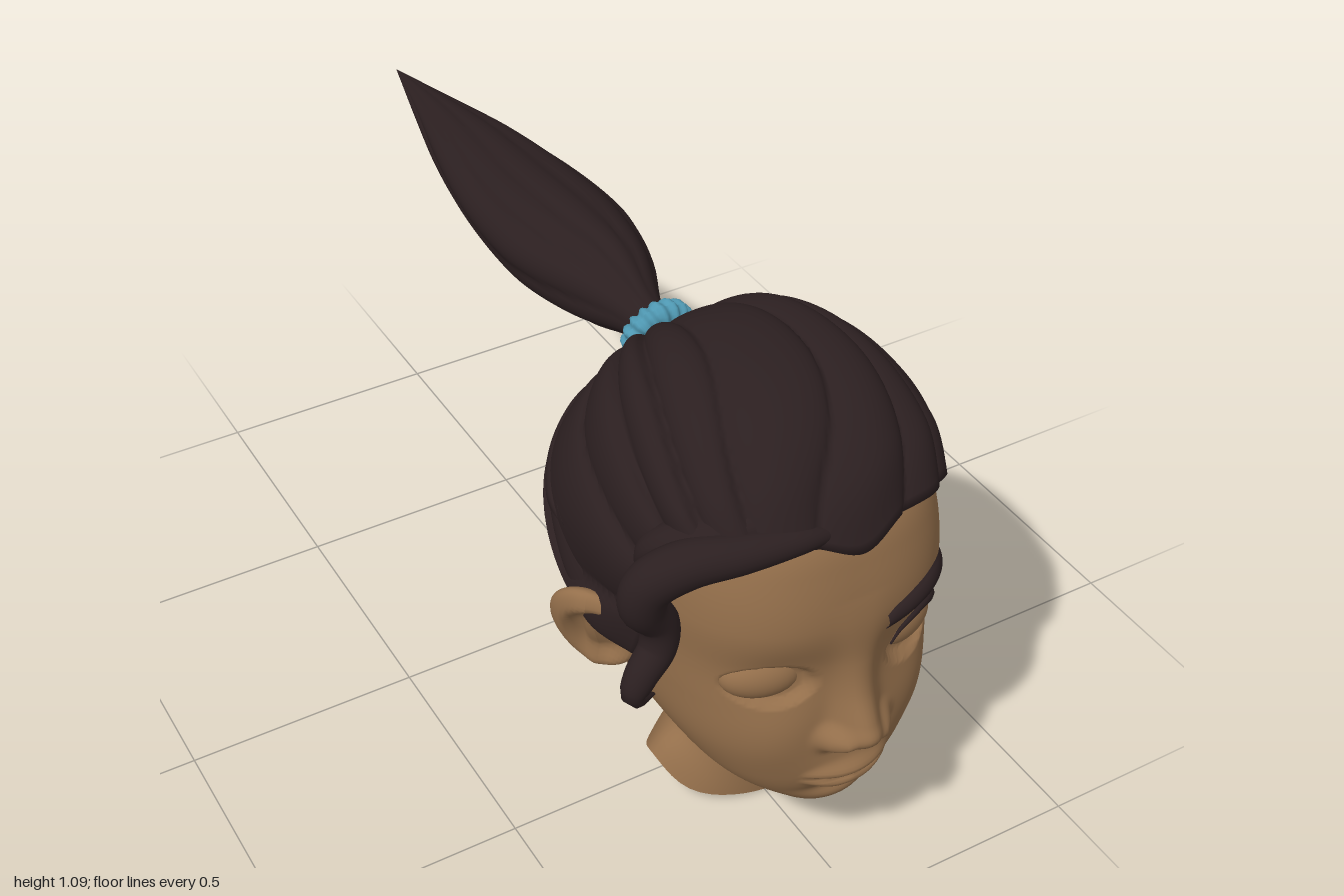
import * as THREE from 'three';

const mat = (name, color, side = THREE.DoubleSide) => {
  const m = new THREE.MeshStandardMaterial({ color, side });
  m.name = name;
  return m;
};
const { PI, sin, cos, abs, pow, exp, hypot, max, min } = Math;
const V = (x, y, z) => new THREE.Vector3(x, y, z);
const smooth = (a, b, x) => THREE.MathUtils.smoothstep(x, a, b);
const gauss = (x, y, sx, sy) => exp(-((x / sx) ** 2 + (y / sy) ** 2) / 2);

// Smooth surface from fn(u, v) -> Vector3; u optionally wraps round
function grid(fn, nu, nv, wrap = true) {
  const pos = [], idx = [], cols = wrap ? nu : nu + 1;
  for (let j = 0; j <= nv; j++)
    for (let i = 0; i < cols; i++) pos.push(...fn(i / nu, j / nv).toArray());
  for (let j = 0; j < nv; j++)
    for (let i = 0; i < nu; i++) {
      const a = j * cols + i, b = j * cols + ((i + 1) % cols), c = a + cols, d = b + cols;
      idx.push(a, b, d, a, d, c);
    }
  const g = new THREE.BufferGeometry();
  g.setAttribute('position', new THREE.Float32BufferAttribute(pos, 3));
  g.setIndex(idx);
  g.computeVertexNormals();
  return g;
}

// Smooth interpolation through rows [key, a, b, ...]
function rowsAt(rows, k) {
  let i = 0;
  while (i < rows.length - 2 && k > rows[i + 1][0]) i++;
  const at = (n) => rows[max(0, min(rows.length - 1, n))];
  const p0 = at(i - 1), p1 = at(i), p2 = at(i + 1), p3 = at(i + 2);
  const h = p2[0] - p1[0], t = max(0, min(1, (k - p1[0]) / h));
  return p1.slice(1).map((v, n) => {
    const c = n + 1;
    const m1 = (p2[c] - p0[c]) / (p2[0] - p0[0]) * h, m2 = (p3[c] - p1[c]) / (p3[0] - p1[0]) * h;
    return (2 * t ** 3 - 3 * t * t + 1) * p1[c] + (t ** 3 - 2 * t * t + t) * m1
      + (3 * t * t - 2 * t ** 3) * p2[c] + (t ** 3 - t * t) * m2;
  });
}

// Tapered tube through points, with radius rows [t, width, depth]
function lock(points, radii, nu = 16, nv = 48) {
  const curve = new THREE.CatmullRomCurve3(points.map((p) => V(...p)));
  const f = curve.computeFrenetFrames(nv);
  return grid((u, v) => {
    const j = Math.round(v * nv), [a, b] = rowsAt(radii, v);
    return curve.getPointAt(v)
      .addScaledVector(f.normals[j], a * cos(u * 2 * PI))
      .addScaledVector(f.binormals[j], b * sin(u * 2 * PI));
  }, nu, nv);
}

// Head slices: y, half width, front z, widest z, back z
const HEAD = [
  [0.188, 0.004, 0.82, 0.80, 0.78], [0.2, 0.07, 0.872, 0.79, 0.7], [0.23, 0.13, 0.895, 0.74, 0.62],
  [0.27, 0.187, 0.905, 0.7, 0.56], [0.32, 0.229, 0.915, 0.66, 0.49], [0.4, 0.271, 0.925, 0.6, 0.4],
  [0.5, 0.291, 0.925, 0.56, 0.31], [0.6, 0.298, 0.925, 0.55, 0.26], [0.7, 0.304, 0.93, 0.55, 0.24],
  [0.8, 0.296, 0.91, 0.55, 0.24], [0.87, 0.27, 0.88, 0.55, 0.27], [0.95, 0.21, 0.8, 0.55, 0.33],
  [1.02, 0.11, 0.67, 0.55, 0.44], [1.04, 0.01, 0.56, 0.55, 0.54]];
// Nose ridge: y, height, width
const NOSE = [[0.385, 0, 0.036], [0.402, 0.02, 0.036], [0.42, 0.056, 0.037], [0.445, 0.073, 0.036], [0.472, 0.061, 0.033],
  [0.53, 0.034, 0.031], [0.6, 0.018, 0.034], [0.68, 0.006, 0.042], [0.75, 0, 0.045]];
const EYE = { x: 0.155, y: 0.563, rx: 0.078, ry: 0.05 };

// Relief of nose, mouth, chin, cheeks and eye sockets
function relief(x, y) {
  const ax = abs(x), [nh, nw] = rowsAt(NOSE, y);
  let d = nh * exp(-pow(ax / (nw * 1.25), 2.6));
  d += 0.03 * exp(-pow(hypot((ax - 0.056) / 0.024, (y - 0.427) / 0.028), 3));
  d += 0.02 * gauss(x, y - 0.325, 0.07, 0.045);
  // Lips: both thin out and meet the mouth line at the corners
  const lip = max(0, 1 - (x / 0.1) ** 2), line = 0.318 - 0.004 * gauss(ax - 0.03, 0, 0.02, 1);
  const bow = 0.003 * gauss(x, 0, 0.012, 1);
  d += pow(lip, 0.8) * 0.02 * gauss(0, y - line - 0.006 - 0.013 * lip + bow, 1, 0.006 + 0.006 * lip);
  d += pow(lip, 0.8) * 0.02 * gauss(0, y - line + 0.006 + 0.015 * lip, 1, 0.005 + 0.009 * lip);
  d -= 0.01 * pow(lip, 0.5) * gauss(0, y - line, 1, 0.004);
  d -= 0.011 * gauss(x, y - 0.263, 0.05, 0.012);
  d += 0.012 * gauss(x, y - 0.228, 0.05, 0.018);
  d += 0.008 * gauss(ax - 0.16, y - 0.43, 0.06, 0.06);
  d -= 0.02 * gauss(ax - 0.15, y - 0.57, 0.065, 0.05);
  const e = hypot((ax - EYE.x) / EYE.rx, (y - EYE.y) / EYE.ry);
  return d - 0.02 * (1 - smooth(0.85, 1.02, e));
}
function faceZ(x, y) {
  const [hw, zf, zc] = rowsAt(HEAD, y);
  return zc + (zf - zc) * pow(max(0, 1 - pow(abs(x) / hw, 2.6)), 1 / 2.6) + relief(x, y);
}
function headPoint(u, v) {
  const y = v < 0.06 ? 0.188 + 0.032 * (v / 0.06) ** 2 : 0.22 + 0.82 * (v - 0.06) / 0.94;
  const [hw, zf, zc, zb] = rowsAt(HEAD, y);
  const a = (u - 0.5) * 2 * PI, s = sin(a), c = cos(a);
  const depth = pow(max(0, 1 - pow(abs(s), 2.6)), 1 / 2.6);
  const z = zc + (c > 0 ? zf - zc : zb - zc) * depth;
  return V(hw * s, y, z + (c > 0 ? relief(hw * s, y) * smooth(0, 0.3, c) : 0));
}

// Neck slices: y, half width, front z, back z
const NECK = [[0, 0.19, 0.66, 0.39], [0.09, 0.144, 0.655, 0.405], [0.15, 0.125, 0.655, 0.42],
  [0.21, 0.119, 0.675, 0.435], [0.45, 0.13, 0.69, 0.4]];
function neckPoint(u, v) {
  const y = v * 0.45, [hw, zf, zb] = rowsAt(NECK, y), a = u * 2 * PI, s = sin(a), c = cos(a);
  const rim = 0.03 * abs(s) + 0.05 * s ** 8 + (c < 0 ? 0.055 * c ** 4 : 0);
  return V(hw * s, y + rim * (1 - smooth(0, 0.18, y)), (zf + zb) / 2 + (zf - zb) / 2 * c);
}

// Ear: flattened ball with a hollow outer face and narrower lobe
function earGeometry(s) {
  const g = new THREE.SphereGeometry(1, 40, 32), p = g.attributes.position;
  for (let i = 0; i < p.count; i++) {
    const y = p.getY(i), z = p.getZ(i), out = p.getX(i) * s;
    let x = out * 0.038;
    if (out > 0) x -= 0.036 * (1 - smooth(0.45, 0.82, hypot(y, z - 0.15))) - 0.012 * gauss(y + 0.05, z + 0.1, 0.5, 0.12);
    p.setXYZ(i, x * s, y * 0.122, z * 0.104 * (0.88 + 0.14 * y));
  }
  g.computeVertexNormals();
  return g;
}

// Hairline on the left, nape to forehead; mirrored for the right
const C = V(0, 0.68, 0.55);
const SIDE = [[0.1, 0.32, 0.425], [0.19, 0.335, 0.455], [0.27, 0.46, 0.46], [0.31, 0.58, 0.47], [0.32, 0.665, 0.53],
  [0.318, 0.65, 0.6], [0.308, 0.54, 0.625], [0.306, 0.53, 0.65], [0.304, 0.62, 0.685], [0.3, 0.7, 0.717],
  [0.282, 0.785, 0.75], [0.25, 0.848, 0.81], [0.18, 0.868, 0.86], [0.09, 0.87, 0.885]];
const mirror = ([x, y, z]) => [-x, y, z];
const hairline = new THREE.CatmullRomCurve3(
  [[0, 0.32, 0.41], ...SIDE, [0, 0.84, 0.905], ...SIDE.map(mirror).reverse()].map((p) => V(...p)), true);
function hull(d) {
  const n = 2.5 - 0.3 * smooth(0, 0.5, d.y);
  return pow(pow(abs(d.x) / 0.347, n) + pow(abs(d.y) / (d.y > 0 ? 0.39 : 0.375), n)
    + pow(abs(d.z) / (d.z > 0 ? 0.38 : 0.355), n), -1 / n);
}
const TIE = V(0, 0.2, -0.35).normalize();

// Combed hair: scalloped locks running from the tie to the hairline
function hairPoint(u, v) {
  const t = min(1, v / 0.96), tuck = max(0, v - 0.96) / 0.04;
  const edge = hairline.getPoint(u).sub(C), len = edge.length(), dir = edge.normalize();
  const ang = TIE.angleTo(dir), d = TIE.clone().multiplyScalar(sin((1 - t) * ang))
    .addScaledVector(dir, sin(t * ang)).divideScalar(sin(ang)).normalize();
  const q = u * 24 + 0.35 * sin(u * 10 * PI) + 0.55 * sin(t * PI * 1.3) * cos(u * 4 * PI) + 48;
  const s = q % 1, id = Math.floor(q) % 24;
  const bulge = pow(sin(PI * pow(s, 0.75)), 0.6) * (0.018 + 0.012 * abs(sin(id * 7.3)));
  let r = THREE.MathUtils.lerp(hull(d), len, smooth(0.72, 1, t)) - 0.004;
  r += bulge * smooth(0, 0.4, t) * (1 - 0.5 * smooth(0.85, 1, t));
  return d.multiplyScalar(r * (1 - 0.14 * tuck)).add(C);
}

// Ponytail slices: distance from tie, half width, top y, bottom y
const TAIL = [[0, 0.04, 0.92, 0.84], [0.08, 0.05, 0.935, 0.83], [0.2, 0.098, 0.98, 0.797], [0.32, 0.13, 0.988, 0.784],
  [0.42, 0.142, 0.986, 0.782], [0.6, 0.134, 0.97, 0.795], [0.8, 0.103, 0.948, 0.823], [1, 0.056, 0.92, 0.856],
  [1.22, 0.001, 0.892, 0.89]];
function tailPoint(u, v) {
  const k = v * 1.22, [hw, top, bot] = rowsAt(TAIL, k), a = u * 2 * PI;
  const q = u * 9 + 0.5 * sin(v * 4) + 0.2 * sin(a * 2) + 9;
  const f = 0.93 + 0.09 * pow(sin(PI * (q % 1)), 0.6) * smooth(0, 0.15, v);
  return V(hw * f * sin(a), (top + bot) / 2 + (top - bot) / 2 * f * cos(a), 0.22 - k);
}

export function createModel() {
  const skin = mat('skin', 0x946f4b), hair = mat('hair', 0x2b1f20), band = mat('hair tie', 0x4f98b2);
  const model = new THREE.Group();
  model.name = 'head';
  const add = (name, geometry, material) => {
    const m = new THREE.Mesh(geometry, material);
    m.name = name;
    model.add(m);
    return m;
  };

  add('face', grid(headPoint, 200, 150), skin);
  add('neck', grid(neckPoint, 48, 20), skin);

  for (const s of [1, -1]) {
    const side = s > 0 ? 'left' : 'right';
    const ear = add(side + 'Ear', earGeometry(s), skin);
    ear.position.set(0.337 * s, 0.528, 0.552);
    ear.rotation.set(0, -0.62 * s, -0.3 * s);

    // Eyeball sitting in its socket
    const eye = add(side + 'Eye', new THREE.SphereGeometry(1, 32, 24), skin);
    eye.scale.set(0.08, 0.05, 0.045);
    eye.position.set(EYE.x * s, EYE.y, faceZ(EYE.x, EYE.y) - 0.022);
    eye.rotation.y = 0.33 * s;
  }

  // Left eyebrow: domed strip laid on the forehead; rows are x, bottom y, top y
  const BROW = [[0.055, 0.648, 0.685], [0.075, 0.65, 0.697], [0.14, 0.662, 0.713], [0.2, 0.664, 0.714],
    [0.24, 0.652, 0.695], [0.267, 0.628, 0.662]];
  add('leftEyebrow', grid((u, v) => {
    const x = 0.055 + 0.212 * u, [lo, hi] = rowsAt(BROW, x), y = lo + (hi - lo) * v;
    return V(x, y, faceZ(x, y) - 0.004 + 0.022 * pow(sin(PI * v), 0.5) * pow(sin(PI * (0.04 + 0.92 * u)), 0.3));
  }, 32, 12, false), hair);

  // Left upper lashes
  const lash = [[0.082, 0.585], [0.105, 0.606], [0.15, 0.616], [0.195, 0.606], [0.228, 0.585], [0.262, 0.567]]
    .map(([x, y], i) => [x, y, faceZ(x, y) + (i === 5 ? 0.02 : 0.004)]);
  add('leftEyelashes', lock(lash, [[0, 0.002, 0.002], [0.4, 0.007, 0.007], [0.75, 0.012, 0.011], [1, 0.001, 0.001]], 10, 28), hair);

  add('hair', grid(hairPoint, 384, 50), hair);
  add('ponytail', grid(tailPoint, 72, 48), hair);

  // Swept fringe and the curl hanging by the right temple
  add('fringe', lock([[0.0, 0.872, 0.87], [-0.1, 0.882, 0.865], [-0.2, 0.872, 0.835], [-0.29, 0.85, 0.79], [-0.347, 0.805, 0.76],
    [-0.355, 0.75, 0.75], [-0.318, 0.69, 0.745], [-0.322, 0.635, 0.75], [-0.362, 0.59, 0.76], [-0.378, 0.552, 0.765],
    [-0.338, 0.54, 0.77]],
  [[0, 0.006, 0.006], [0.15, 0.026, 0.026], [0.4, 0.045, 0.045], [0.55, 0.045, 0.048], [0.7, 0.037, 0.04],
    [0.88, 0.03, 0.032], [0.95, 0.022, 0.022], [1, 0.002, 0.002]], 20, 80), hair);
  add('fringeUpperLock', lock([[-0.02, 0.89, 0.82], [-0.14, 0.9, 0.815], [-0.24, 0.872, 0.765], [-0.305, 0.825, 0.7], [-0.32, 0.75, 0.67]],
    [[0, 0.006, 0.006], [0.3, 0.03, 0.03], [0.7, 0.042, 0.04], [1, 0.004, 0.004]]), hair);

  // Twisted hair tie
  const tie = add('hairTie', grid((u, v) => {
    const a = u * 2 * PI, b = v * 2 * PI, r = 0.026 + 0.004 * sin(16 * a + b);
    return V((0.05 + r * cos(b)) * cos(a), (0.05 + r * cos(b)) * sin(a), r * sin(b));
  }, 128, 14), band);
  tie.position.set(0, 0.882, 0.2);
  tie.rotation.x = 0.28;

  return model;
}
